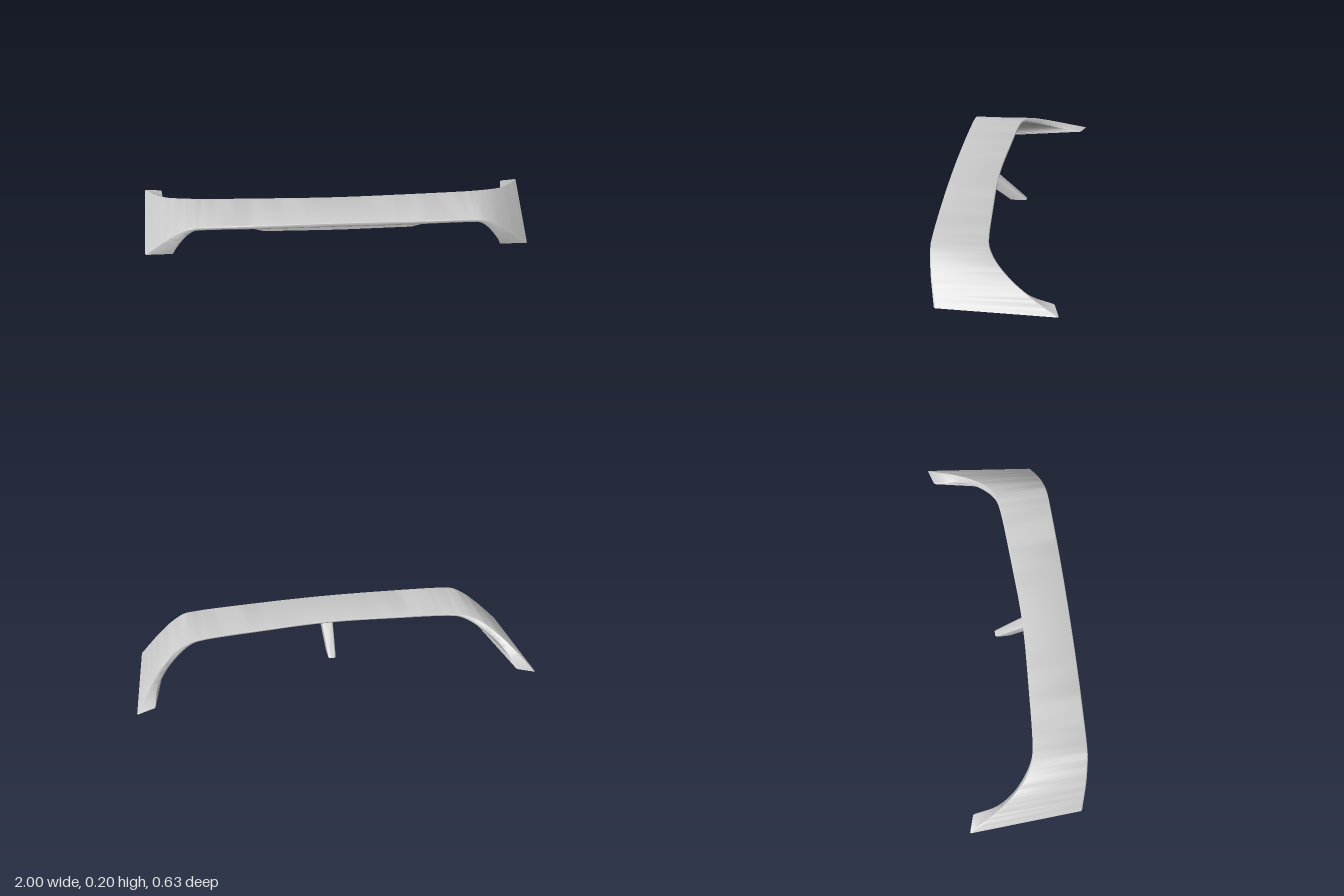
import * as THREE from 'three';
import { toCreasedNormals } from 'three/addons/utils/BufferGeometryUtils.js';

const V = (x, y, z) => new THREE.Vector3(x, y, z);

// Rounds the corners of a four-cornered section into a closed ring of points.
function roundedRing(corners, radius, steps = 4) {
  const ring = [];
  const n = corners.length;
  corners.forEach((c, k) => {
    const toward = (other) => {
      const d = other.clone().sub(c);
      return c.clone().addScaledVector(d.clone().normalize(), Math.min(radius, d.length() * 0.45));
    };
    const bend = new THREE.QuadraticBezierCurve3(
      toward(corners[(k + n - 1) % n]), c, toward(corners[(k + 1) % n]));
    ring.push(...bend.getPoints(steps));
  });
  return ring;
}

// Skins a row of equal rings and closes both ends.
function loft(rings, crease) {
  const m = rings[0].length;
  const pos = [];
  const index = [];
  rings.forEach((r) => r.forEach((p) => pos.push(p.x, p.y, p.z)));
  for (let i = 0; i < rings.length - 1; i++) {
    for (let j = 0; j < m; j++) {
      const a = i * m + j, b = i * m + (j + 1) % m;
      index.push(a, a + m, b, b, a + m, b + m);
    }
  }
  [0, rings.length - 1].forEach((i) => {
    const mid = V(0, 0, 0);
    rings[i].forEach((p) => mid.addScaledVector(p, 1 / m));
    const c = pos.length / 3;
    pos.push(mid.x, mid.y, mid.z);
    for (let j = 0; j < m; j++) {
      const a = i * m + j, b = i * m + (j + 1) % m;
      if (i === 0) index.push(c, a, b);
      else index.push(c, b, a);
    }
  });
  const geo = new THREE.BufferGeometry();
  geo.setAttribute('position', new THREE.Float32BufferAttribute(pos, 3));
  geo.setIndex(index);
  return toCreasedNormals(geo, crease);
}

// Smooth edge line from the centre outwards, mirrored to the other side.
function edgeCurve(half) {
  const right = half.slice(1).reverse().map(([x, y, z]) => V(-x, y, z));
  return new THREE.CatmullRomCurve3([...right, ...half.map((p) => V(...p))], false, 'centripetal');
}

export function createModel() {
  const group = new THREE.Group();
  const material = new THREE.MeshStandardMaterial({ color: 0xcccccc, side: THREE.DoubleSide });
  const add = (name, geo) => {
    const mesh = new THREE.Mesh(geo, material);
    mesh.name = name;
    group.add(mesh);
  };

  // Wing and down-swept legs: four edge lines, front/back and outer/inner
  const edges = [
    [[0, 0.204, 0.314], [0.35, 0.2, 0.311], [0.66, 0.193, 0.302], [0.72, 0.186, 0.298],
      [0.78, 0.155, 0.289], [0.85, 0.1, 0.275], [0.91, 0.045, 0.258], [0.955, 0.001, 0.245]],
    [[0, 0.198, 0.07], [0.35, 0.194, 0.056], [0.66, 0.187, 0.034], [0.72, 0.181, 0.02],
      [0.79, 0.163, -0.015], [0.87, 0.12, -0.095], [0.94, 0.072, -0.2], [1, 0.025, -0.317]],
    [[0, 0.186, 0.07], [0.35, 0.182, 0.056], [0.66, 0.175, 0.034], [0.705, 0.168, 0.02],
      [0.765, 0.143, -0.015], [0.84, 0.1, -0.085], [0.892, 0.06, -0.18], [0.91, 0.035, -0.29]],
    [[0, 0.177, 0.31], [0.35, 0.175, 0.307], [0.66, 0.172, 0.299], [0.7, 0.166, 0.297],
      [0.735, 0.14, 0.294], [0.77, 0.095, 0.288], [0.795, 0.055, 0.281], [0.81, 0.022, 0.273]],
  ].map(edgeCurve);
  const wingRings = [];
  const steps = 98;
  for (let i = 0; i <= steps; i++) {
    wingRings.push(roundedRing(edges.map((e) => e.getPoint(i / steps)), 0.009));
  }
  add('wing', loft(wingRings, 0.65));

  // Shallow light housing under the front lip, deepest in the middle
  const housingRings = [-0.42, -0.36, -0.05, 0.05, 0.36, 0.42].map((x) => {
    const a = Math.abs(x);
    const low = a > 0.4 ? 0.174 : 0.158;
    const back = 0.28 - 0.11 * (1 - a / 0.42);
    const front = 0.307 - 0.02 * a;
    return [V(x, 0.188, front), V(x, 0.183, back), V(x, low + 0.004, 0.272), V(x, low, front - 0.004)];
  });
  add('lightHousing', loft(housingRings, 0.3));

  // Central stay sloping down and back, narrowing to its foot
  const stayRings = [
    [0.19, 0.032, 0.18, 0.075],
    [0.13, 0.027, 0.1, 0.005],
    [0.065, 0.021, 0.015, -0.07],
  ].map(([y, w, front, back]) => roundedRing(
    [V(-w, y, front), V(w, y, front), V(w * 0.9, y, back), V(-w * 0.9, y, back)], 0.012));
  add('centreStay', loft(stayRings, 0.65));

  return group;
}
